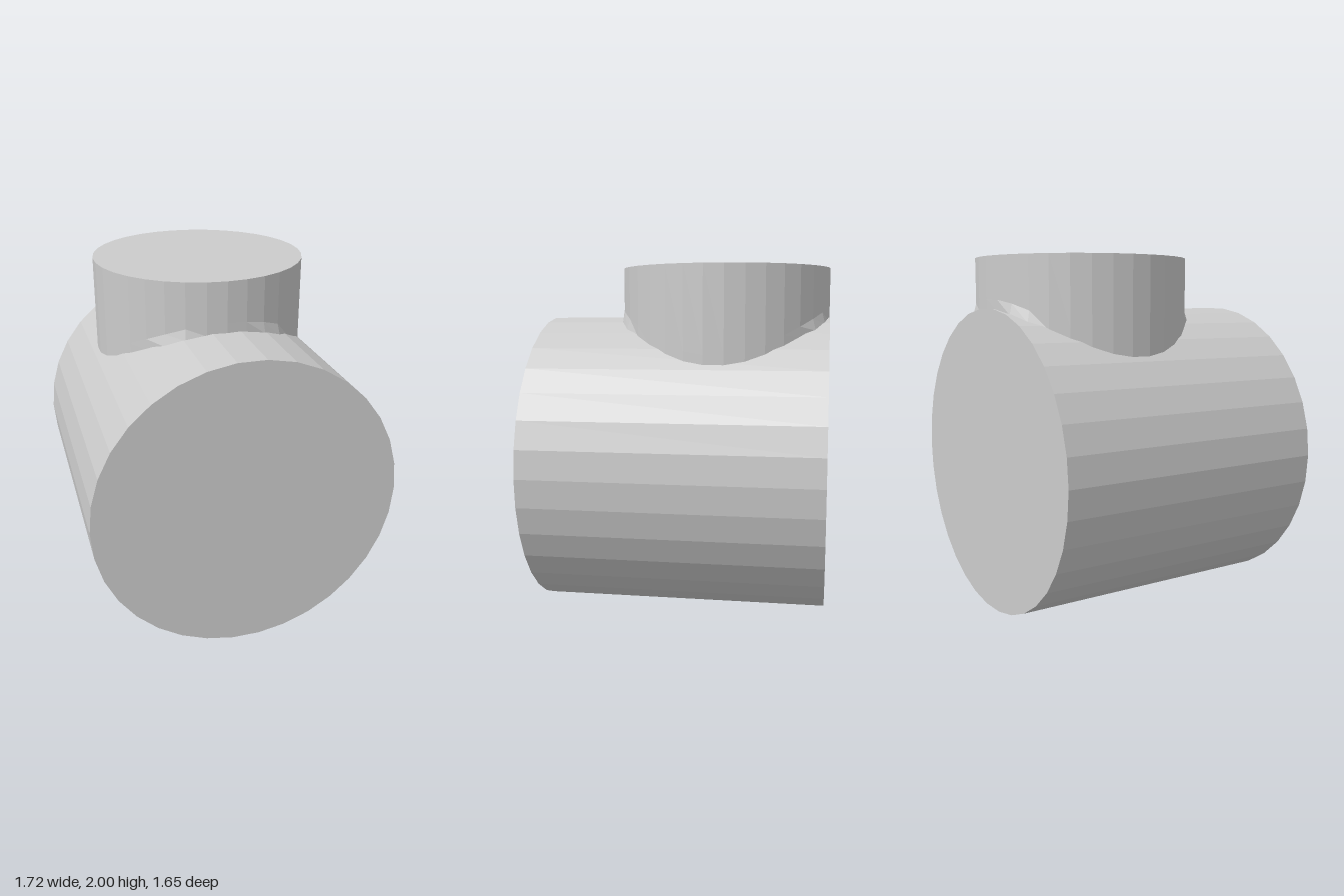
import * as THREE from 'three';

const SIDES = 34;
const STEP = (Math.PI * 2) / SIDES;
const BODY_R = 0.861, BODY_Y = 0.857, BODY_LENGTH = 1.65;
const NECK_R = 0.611, NECK_Z = -0.213, TOP = 2;

// Height of the faceted body's upper surface at a given x.
function bodyTop(x) {
  const inner = BODY_R * Math.cos(STEP / 2);
  let y = Infinity;
  for (let k = -8; k <= 8; k++) {
    y = Math.min(y, (inner - x * Math.sin(k * STEP)) / Math.cos(k * STEP));
  }
  return BODY_Y + y;
}

// Horizontal drum with a flat facet at the top and bottom.
function createBody(material) {
  const geometry = new THREE.CylinderGeometry(
    BODY_R, BODY_R, BODY_LENGTH, SIDES, 1, false, Math.PI / 2);
  geometry.rotateX(Math.PI / 2);
  const body = new THREE.Mesh(geometry, material);
  body.name = 'body';
  body.position.y = BODY_Y;
  return body;
}

// Upright capped pipe whose lower rim follows the drum, with a slight flare.
function createNeck(material) {
  const profile = [[NECK_R, 0], [NECK_R, 0.06], [NECK_R, TOP], [0, TOP]]
    .map(([r, y]) => new THREE.Vector2(r, y));
  const geometry = new THREE.LatheGeometry(profile, SIDES);
  const p = geometry.attributes.position;
  for (let i = 0; i < p.count; i++) {
    const y = p.getY(i);
    if (y > 1) continue;
    let x = p.getX(i), z = p.getZ(i);
    if (y === 0) {
      const angle = Math.atan2(Math.abs(x), Math.abs(z));
      const scale = 1 + 0.045 * Math.exp(-(((angle - 0.47) / 0.14) ** 2));
      x *= scale;
      z *= scale;
    }
    p.setXYZ(i, x, bodyTop(x) + y - 0.005, z);
  }
  geometry.computeVertexNormals();
  const neck = new THREE.Mesh(geometry, material);
  neck.name = 'neck';
  neck.position.z = NECK_Z;
  return neck;
}

export function createModel() {
  const model = new THREE.Group();
  model.name = 'pipeBranch';
  const material = new THREE.MeshStandardMaterial({ color: 0xcccccc, flatShading: true });
  model.add(createBody(material), createNeck(material));
  return model;
}
